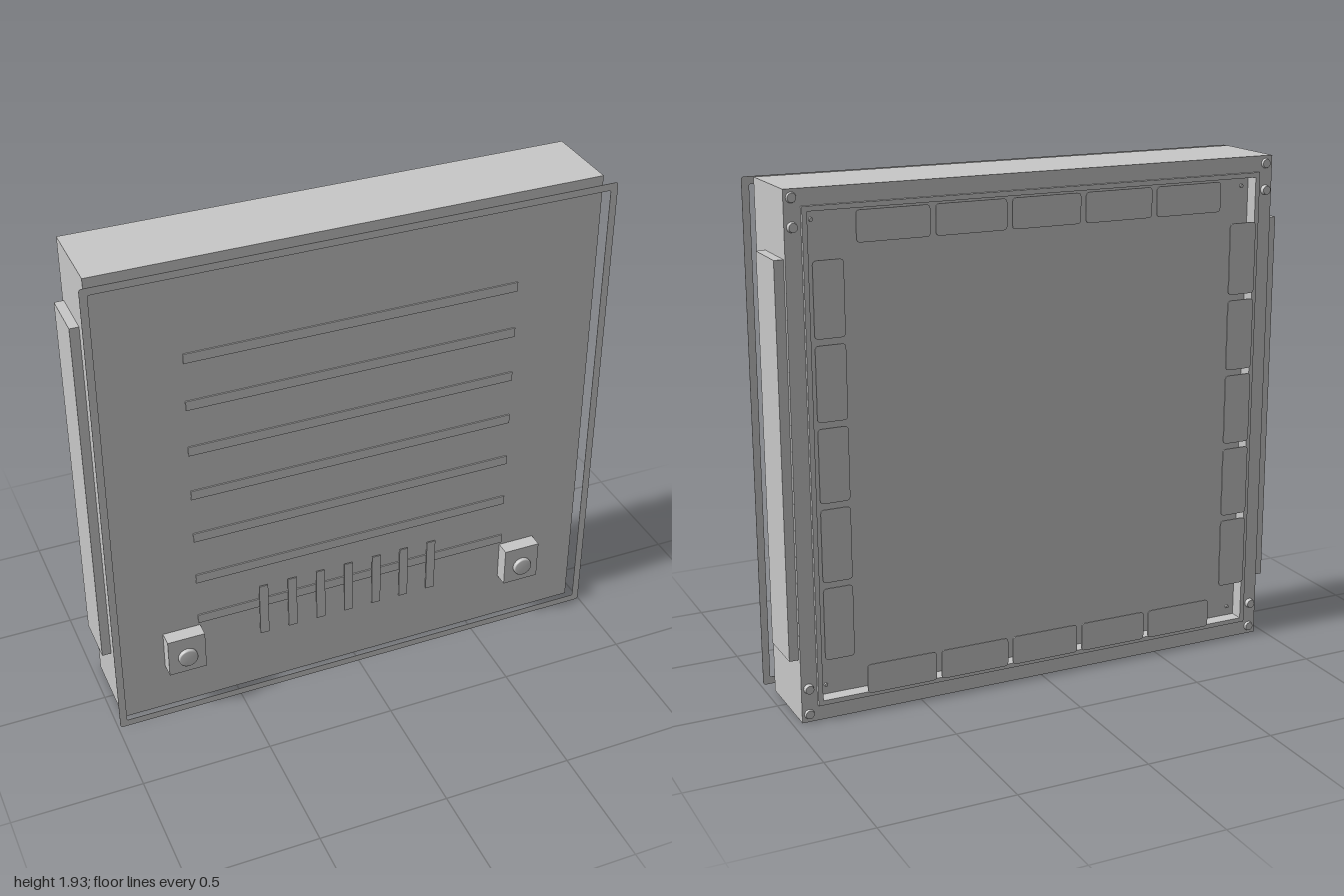
import * as THREE from 'three';

const grey = new THREE.MeshStandardMaterial({ color: 0xc8c8c8 });
grey.name = 'grey';

// Rounded rectangle traced on a Shape or Path
function roundRect(path, w, h, r) {
  const x = w / 2, y = h / 2;
  path.moveTo(-x + r, -y);
  path.lineTo(x - r, -y);
  path.quadraticCurveTo(x, -y, x, -y + r);
  path.lineTo(x, y - r);
  path.quadraticCurveTo(x, y, x - r, y);
  path.lineTo(-x + r, y);
  path.quadraticCurveTo(-x, y, -x, y - r);
  path.lineTo(-x, -y + r);
  path.quadraticCurveTo(-x, -y, -x + r, -y);
  return path;
}

// Flat plate centred on its depth, with an optional opening of the given rim width
function plateGeometry(w, h, r, depth, rim = 0) {
  const shape = roundRect(new THREE.Shape(), w, h, r);
  if (rim) shape.holes.push(roundRect(new THREE.Path(), w - 2 * rim, h - 2 * rim, r / 2));
  const geo = new THREE.ExtrudeGeometry(shape, { depth, bevelEnabled: false, curveSegments: 4 });
  return geo.translate(0, 0, -depth / 2);
}

export function createModel() {
  const model = new THREE.Group();
  model.name = 'panelUnit';
  const midY = 0.967, front = 0.133, floor = -0.138, back = -0.178;

  const add = (name, geo, x, y, z) => {
    const mesh = new THREE.Mesh(geo, grey);
    mesh.name = name;
    mesh.position.set(x, y, z);
    model.add(mesh);
    return mesh;
  };
  const box = (name, w, h, d, x, y, z) => add(name, new THREE.BoxGeometry(w, h, d), x, y, z);

  // Main case, the wall around its recessed back, and the raised rim of the recess
  box('case', 1.93, 1.935, front - floor, 0, midY, (front + floor) / 2);
  add('rearWall', plateGeometry(1.93, 1.935, 0.001, floor - back, 0.078), 0, midY, (floor + back) / 2);
  add('rearRim', plateGeometry(1.81, 1.815, 0.002, 0.013, 0.018), 0, midY, back - 0.0065);

  // Thin trim frame floating before the case
  add('frontFrame', plateGeometry(1.986, 1.925, 0.012, 0.002, 0.028), 0, midY, 0.189);

  // Long horizontal ribs on the front
  for (let i = 0; i < 7; i++) {
    box('frontRib', 1.284, 0.038, 0.005, 0, 0.39 + i * 0.1935, front + 0.0025);
  }

  // Upright vent bars
  for (let i = 0; i < 7; i++) {
    box('ventBar', 0.036, 0.23, 0.005, -0.382 + i * 0.117, 0.366, 0.151);
  }

  // Round knob profile, turned to face along z
  const knobGeo = new THREE.LatheGeometry([
    [0, 0], [0.033, 0], [0.038, 0.004], [0.038, 0.017], [0.034, 0.021], [0, 0.021],
  ].map(([r, y]) => new THREE.Vector2(r, y)), 32).rotateX(Math.PI / 2);
  const boltGeo = new THREE.CylinderGeometry(0.016, 0.019, 1, 20).rotateX(-Math.PI / 2);

  for (const s of [-1, 1]) {
    // Front blocks with knobs
    box('knobBlock', 0.148, 0.16, 0.057, s * 0.71, 0.278, front + 0.0285);
    add('knob', knobGeo, s * 0.71, 0.273, 0.19);

    // Raised side panels
    box('sidePanel', 0.037, 1.455, 0.192, s * 0.9815, 0.968, -0.066);

    // Bolts at the rear corners, the inner ones taller
    for (const [y, h] of [[1.905, 0.009], [1.805, 0.016], [0.13, 0.016], [0.03, 0.009]]) {
      add('bolt', boltGeo, s * 0.937, y, back - h / 2).scale.z = h;
    }

    // Small pins in the corners of the recess
    for (const t of [-1, 1]) {
      add('pin', boltGeo, s * 0.857, midY + t * 0.853, floor - 0.003).scale.set(0.4, 0.4, 0.006);
    }
  }

  // Rounded tiles around the rear edge, five on each side
  const wide = plateGeometry(0.272, 0.112, 0.015, 0.006);
  const tall = plateGeometry(0.112, 0.272, 0.015, 0.006);
  for (let i = -2; i <= 2; i++) {
    for (const s of [-1, 1]) {
      add('rearTileRow', wide, i * 0.2925, midY + s * 0.83, -0.208);
      add('rearTileColumn', tall, s * 0.825, midY + i * 0.2945, -0.208);
    }
  }
  return model;
}
